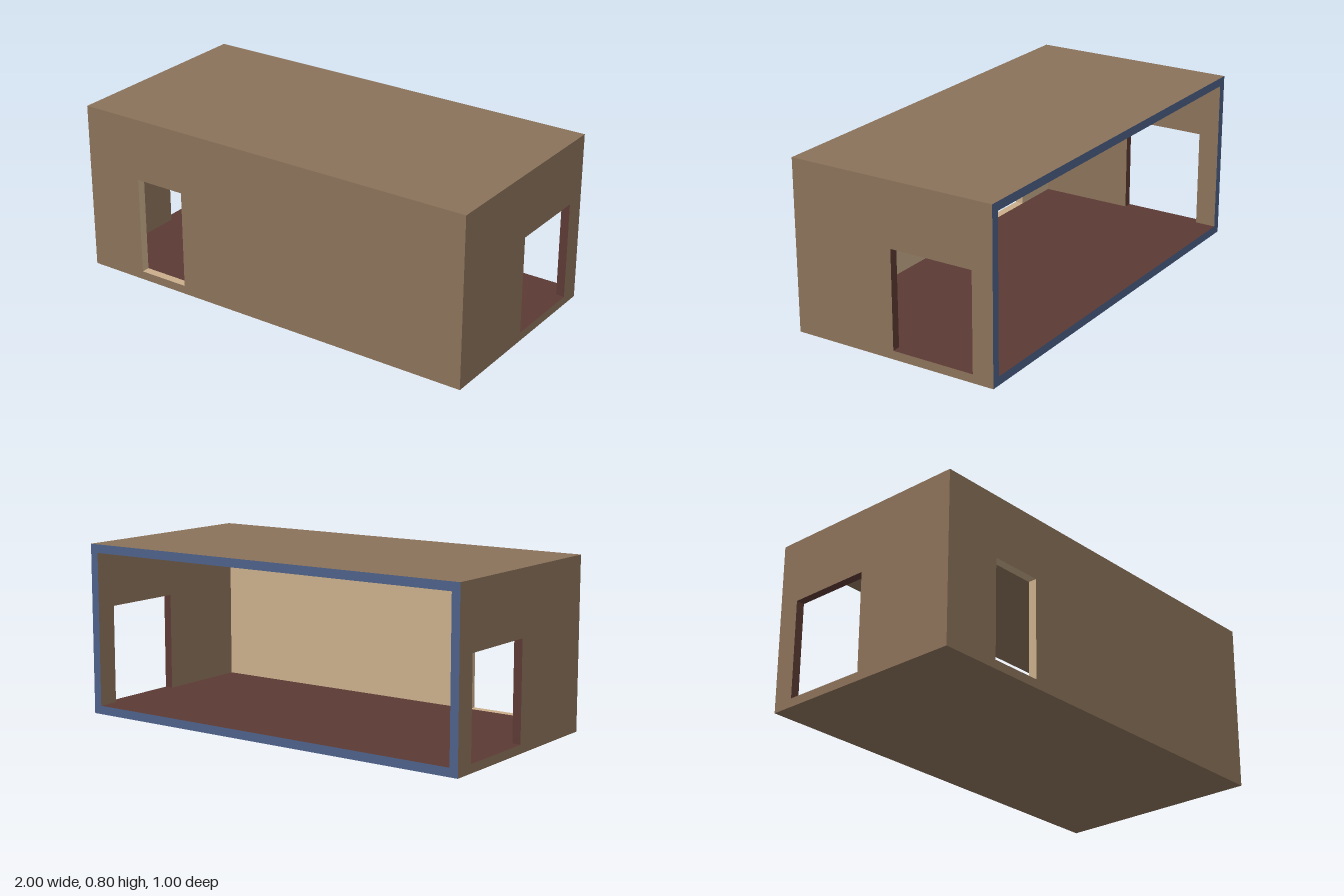
import * as THREE from 'three';

const T = 0.04; // wall thickness
const W = 1, H = 0.8, D = 0.5; // half width, height, half depth

const poly = (C, pts) => new C(pts.map(([x, y]) => new THREE.Vector2(x, y)));
const rect = (C, x0, y0, x1, y1) => poly(C, [[x0, y0], [x1, y0], [x1, y1], [x0, y1]]);

export function createModel() {
  const group = new THREE.Group();
  const material = (name, color) => {
    const m = new THREE.MeshStandardMaterial({ color });
    m.name = name;
    return m;
  };
  const brown = material('brownWall', 0x8b725a);
  const tan = material('tanPlaster', 0xcaae8b);
  const red = material('redBrownFloor', 0x5c3a34);
  const blue = material('blueRim', 0x4c6188);

  const add = (name, geometry, mat, parent = group) => {
    const mesh = new THREE.Mesh(geometry, mat);
    mesh.name = name;
    parent.add(mesh);
    return mesh;
  };

  // One walled side with an opening from u0 to u1, seen from outside
  function wall(name, { half, dist, turn, u0, u1, top, innerMat, revealMat, in0, in1 }) {
    const side = new THREE.Group();
    side.name = name;
    side.rotation.y = turn;
    group.add(side);

    // Outer face
    const outer = rect(THREE.Shape, -half, 0, half, H);
    outer.holes.push(rect(THREE.Path, u0, T, u1, top));
    add(name + 'Outside', new THREE.ShapeGeometry(outer), brown, side).position.z = dist;

    // Inner face, notched by the opening down to floor level, and turned inward
    const inner = poly(THREE.Shape, [
      [-in1, T], [-u1, T], [-u1, top], [-u0, top], [-u0, T], [-in0, T], [-in0, H - T], [-in1, H - T],
    ]);
    const lining = add(name + 'Inside', new THREE.ShapeGeometry(inner), innerMat, side);
    lining.rotation.y = Math.PI;
    lining.position.z = dist - T;

    // Sill, jambs and lintel, all facing into the opening
    const w = u1 - u0, h = top - T;
    ['Sill', 'RightJamb', 'Lintel', 'LeftJamb'].forEach((part, i) => {
      const [length, offset] = i % 2 ? [h, w / 2] : [w, h / 2];
      const g = new THREE.PlaneGeometry(length, T);
      g.rotateX(-Math.PI / 2).translate(0, -offset, 0).rotateZ(i * Math.PI / 2);
      add(name + part, g, revealMat, side).position.set((u0 + u1) / 2, T + h / 2, dist - T / 2);
    });
  }

  wall('frontWall', {
    half: W, dist: D, turn: 0, u0: -0.715, u1: -0.465, top: 0.505,
    innerMat: tan, revealMat: tan, in0: -W + T, in1: W - T,
  });
  wall('leftWall', {
    half: D, dist: W, turn: Math.PI / 2, u0: 0, u1: 0.4, top: 0.5,
    innerMat: brown, revealMat: red, in0: -D + T, in1: D,
  });
  wall('rightWall', {
    half: D, dist: W, turn: -Math.PI / 2, u0: -0.4, u1: 0, top: 0.5,
    innerMat: brown, revealMat: red, in0: -D, in1: D - T,
  });

  // Horizontal faces of the floor and roof slabs
  const slab = (name, mat, y, up, inset) => {
    const g = new THREE.PlaneGeometry(2 * (W - inset), 2 * D - inset);
    g.rotateX(up ? -Math.PI / 2 : Math.PI / 2);
    add(name, g, mat).position.set(0, y, -inset / 2);
  };
  slab('roof', brown, H, true, 0);
  slab('ceiling', brown, H - T, false, T);
  slab('floor', red, T, true, T);
  slab('underside', brown, 0, false, 0);

  // Rim around the open back
  const rim = rect(THREE.Shape, -W, 0, W, H);
  rim.holes.push(rect(THREE.Path, -W + T, T, W - T, H - T));
  const rimMesh = add('backRim', new THREE.ShapeGeometry(rim), blue);
  rimMesh.rotation.y = Math.PI;
  rimMesh.position.z = -D;

  return group;
}
